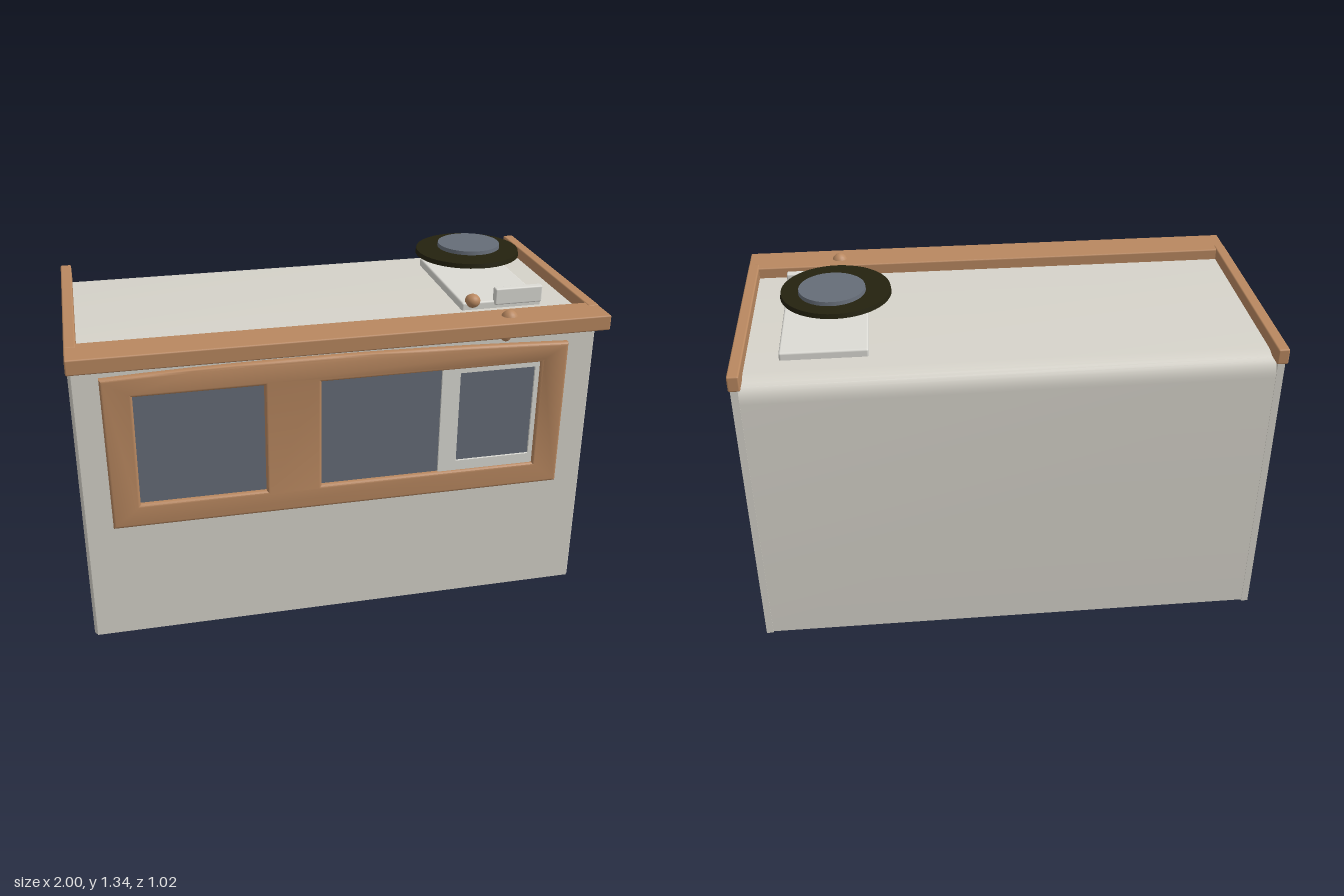
import * as THREE from 'three';
import { RoundedBoxGeometry } from 'three/addons/geometries/RoundedBoxGeometry.js';
import { toCreasedNormals } from 'three/addons/utils/BufferGeometryUtils.js';

export function createModel() {
  const model = new THREE.Group();
  const material = (name, color) => {
    const m = new THREE.MeshStandardMaterial({ color });
    m.name = name;
    return m;
  };
  const plaster = material('plaster', 0xd6d3ca);
  const wood = material('wood', 0xb98860);
  const glass = material('glass', 0x666d78);
  const white = material('white', 0xdcdbd5);
  const darkRim = material('darkRim', 0x24220f);

  const add = (name, geometry, mat, x = 0, y = 0, z = 0) => {
    const mesh = new THREE.Mesh(geometry, mat);
    mesh.name = name;
    mesh.position.set(x, y, z);
    model.add(mesh);
    return mesh;
  };
  // Box given by its lower and upper corners, optionally rounded
  const block = (name, mat, [x0, y0, z0], [x1, y1, z1], r = 0) => {
    const size = [x1 - x0, y1 - y0, z1 - z0];
    const g = r ? new RoundedBoxGeometry(...size, 3, r) : new THREE.BoxGeometry(...size);
    return add(name, g, mat, (x0 + x1) / 2, (y0 + y1) / 2, (z0 + z1) / 2);
  };
  const rect = (path, x0, y0, x1, y1) => {
    path.moveTo(x0, y0);
    path.lineTo(x1, y0);
    path.lineTo(x1, y1);
    path.lineTo(x0, y1);
    path.closePath();
    return path;
  };

  // Main body: side profile with a rounded rear roof edge, swept across x
  const profile = new THREE.Shape();
  profile.moveTo(-0.38, 0.005);
  profile.lineTo(0.485, 0.005);
  profile.lineTo(0.485, 1.09);
  profile.quadraticCurveTo(0.485, 1.17, 0.405, 1.175);
  profile.lineTo(-0.38, 1.175);
  profile.closePath();
  const body = new THREE.ExtrudeGeometry(profile, { depth: 1.96, bevelEnabled: false, curveSegments: 8 });
  body.rotateY(Math.PI / 2);
  add('body', toCreasedNormals(body, 0.6), plaster, -0.98, 0, 0);

  // Front wall, with rounded vertical corners
  block('frontWall', plaster, [-0.985, 0, 0.36], [0.985, 1.17, 0.412]);
  for (const s of [-1, 1]) {
    const name = s > 0 ? 'left' : 'right';
    const inner = s * 0.97, outer = s * 0.997;
    block(name + 'SideWall', plaster,
      [Math.min(inner, outer), 0, -0.487], [Math.max(inner, outer), 1.165, 0.365]);
    add(name + 'CornerPost', new THREE.CylinderGeometry(0.024, 0.024, 1.165, 16), plaster, s * 0.973, 0.5825, 0.387);
    // Wooden edge rail along the side of the roof
    block(name + 'RoofRail', wood,
      [s > 0 ? 0.957 : -1, 1.16, -0.51], [s > 0 ? 1 : -0.957, 1.221, 0.4], 0.006);
  }
  block('frontRoofRail', wood, [-1, 1.16, 0.36], [1, 1.219, 0.512], 0.006);

  // Window frame with two openings; the top edge bows gently upward
  const frameShape = new THREE.Shape();
  frameShape.moveTo(-0.875, 0.5);
  frameShape.lineTo(0.865, 0.5);
  frameShape.lineTo(0.865, 1.08);
  frameShape.quadraticCurveTo(-0.1, 1.125, -0.88, 1.09);
  frameShape.closePath();
  frameShape.holes.push(
    rect(new THREE.Path(), -0.79, 0.57, -0.29, 1.035),
    rect(new THREE.Path(), -0.1, 0.57, 0.78, 1.03));
  const frame = new THREE.ExtrudeGeometry(frameShape, {
    depth: 0.018, bevelThickness: 0.009, bevelSize: 0.011, bevelSegments: 3, curveSegments: 10,
  });
  add('windowFrame', toCreasedNormals(frame, 0.7), wood, 0, 0, 0.411);

  // Glass panes
  block('rightPane', glass, [-0.79, 0.57, 0.409], [-0.29, 1.035, 0.417]);
  block('middlePane', glass, [-0.1, 0.57, 0.409], [0.4, 1.03, 0.417]);
  block('leftPane', glass, [0.44, 0.61, 0.409], [0.76, 1.01, 0.417]);

  // White sliding sash
  const sashShape = rect(new THREE.Shape(), 0.38, 0.575, 0.772, 1.025);
  sashShape.holes.push(rect(new THREE.Path(), 0.452, 0.622, 0.752, 0.998));
  add('sash', new THREE.ExtrudeGeometry(sashShape, { depth: 0.014, bevelEnabled: false }), white, 0, 0, 0.412);

  // Roof hatch plate with an upright tab
  block('roofPlate', white, [0.51, 1.165, -0.33], [0.835, 1.205, 0.235], 0.008);
  block('roofTab', white, [0.64, 1.19, 0.215], [0.832, 1.256, 0.247], 0.006);

  // Round roof vent: dark rim and a pale cap
  add('ventRim', new THREE.CylinderGeometry(0.205, 0.208, 0.018, 48), darkRim, 0.625, 1.315, -0.068);
  add('ventCap', new THREE.CylinderGeometry(0.124, 0.126, 0.015, 40), glass, 0.638, 1.334, -0.088);

  // Wooden knobs
  const knob = (name, r, x, y, z, sy = 1) => {
    add(name, new THREE.SphereGeometry(r, 20, 14), wood, x, y, z).scale.y = sy;
  };
  knob('railKnob', 0.037, 0.628, 1.19, 0.43, 1.35);
  knob('lowerKnob', 0.02, 0.6, 1.157, 0.475);
  knob('plateKnob', 0.03, 0.555, 1.208, 0.225, 0.9);

  return model;
}
